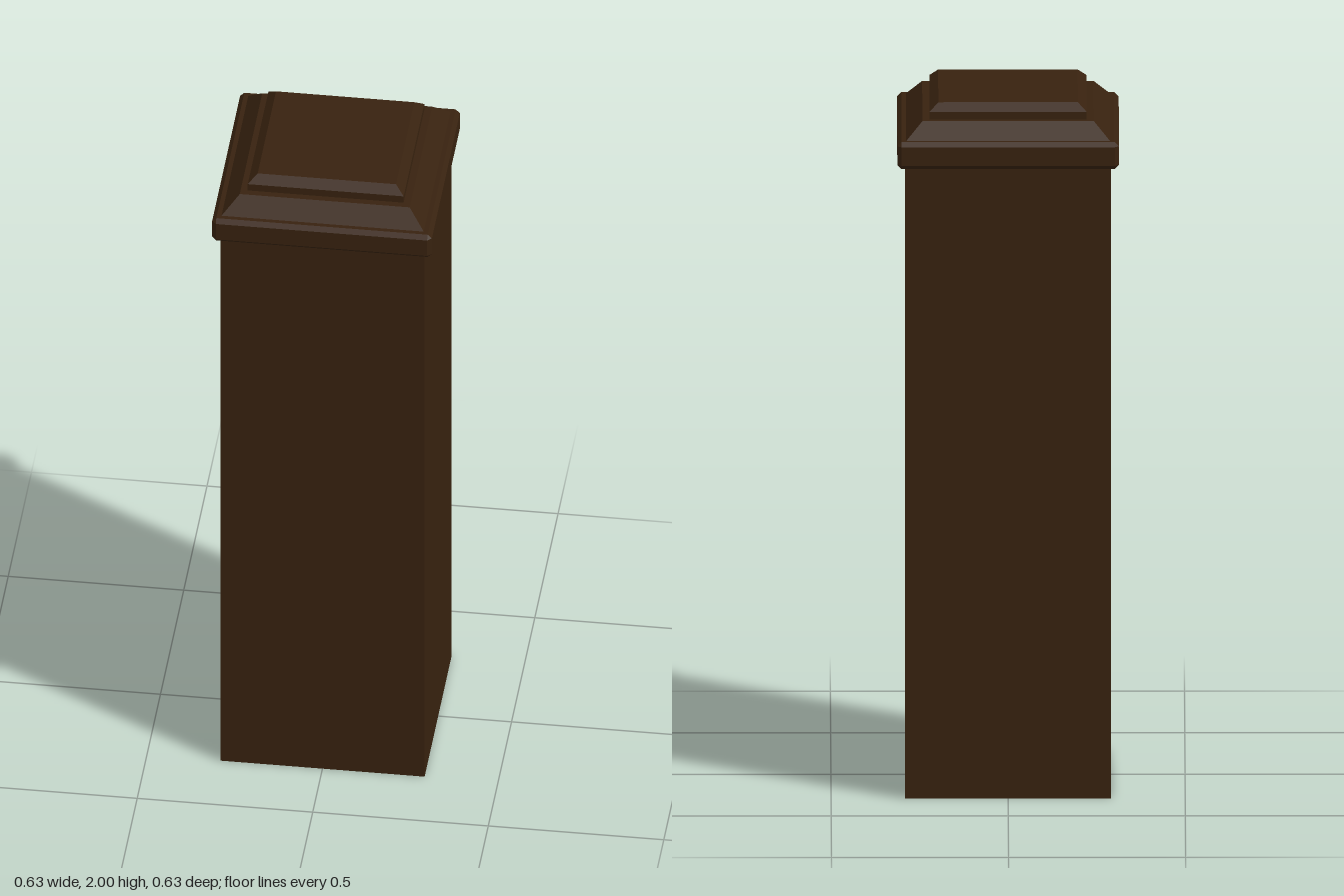
import * as THREE from 'three';
import { ConvexGeometry } from 'three/addons/geometries/ConvexGeometry.js';

const wood = new THREE.MeshStandardMaterial({ color: 0x38220f, flatShading: true });

// Square solid from a profile of [half width, height] pairs, bottom to top
function squareTurned(name, profile) {
  const points = profile.map(([half, y]) => new THREE.Vector2(half * Math.SQRT2, y));
  const geometry = new THREE.LatheGeometry(points, 4, Math.PI / 4);
  const mesh = new THREE.Mesh(geometry, wood);
  mesh.name = name;
  return mesh;
}

// Box with every edge cut at 45 degrees
function chamferedBox(name, width, height, depth, cut) {
  const [x, y, z] = [width / 2, height / 2, depth / 2];
  const points = [];
  for (const sx of [-1, 1]) for (const sy of [-1, 1]) for (const sz of [-1, 1]) {
    points.push(
      new THREE.Vector3(sx * x, sy * (y - cut), sz * (z - cut)),
      new THREE.Vector3(sx * (x - cut), sy * y, sz * (z - cut)),
      new THREE.Vector3(sx * (x - cut), sy * (y - cut), sz * z)
    );
  }
  const mesh = new THREE.Mesh(new ConvexGeometry(points), wood);
  mesh.name = name;
  return mesh;
}

export function createModel() {
  const model = new THREE.Group();
  model.name = 'squarePost';

  // Plain square shaft
  const shaft = new THREE.Mesh(new THREE.BoxGeometry(0.582, 1.84, 0.582), wood);
  shaft.name = 'shaft';
  shaft.position.y = 0.92;

  // Cap: overhanging slab, sloped tier, small bevelled top tier
  const cap = new THREE.Group();
  cap.name = 'cap';
  const slab = chamferedBox('capSlab', 0.626, 0.078, 0.626, 0.012);
  slab.position.y = 1.87;
  cap.add(
    slab,
    squareTurned('capSlope', [[0, 1.9], [0.288, 1.9], [0.288, 1.909], [0.242, 1.956], [0, 1.956]]),
    squareTurned('capTop', [[0, 1.95], [0.222, 1.95], [0.222, 1.978], [0.197, 2], [0, 2]])
  );

  model.add(shaft, cap);
  return model;
}
